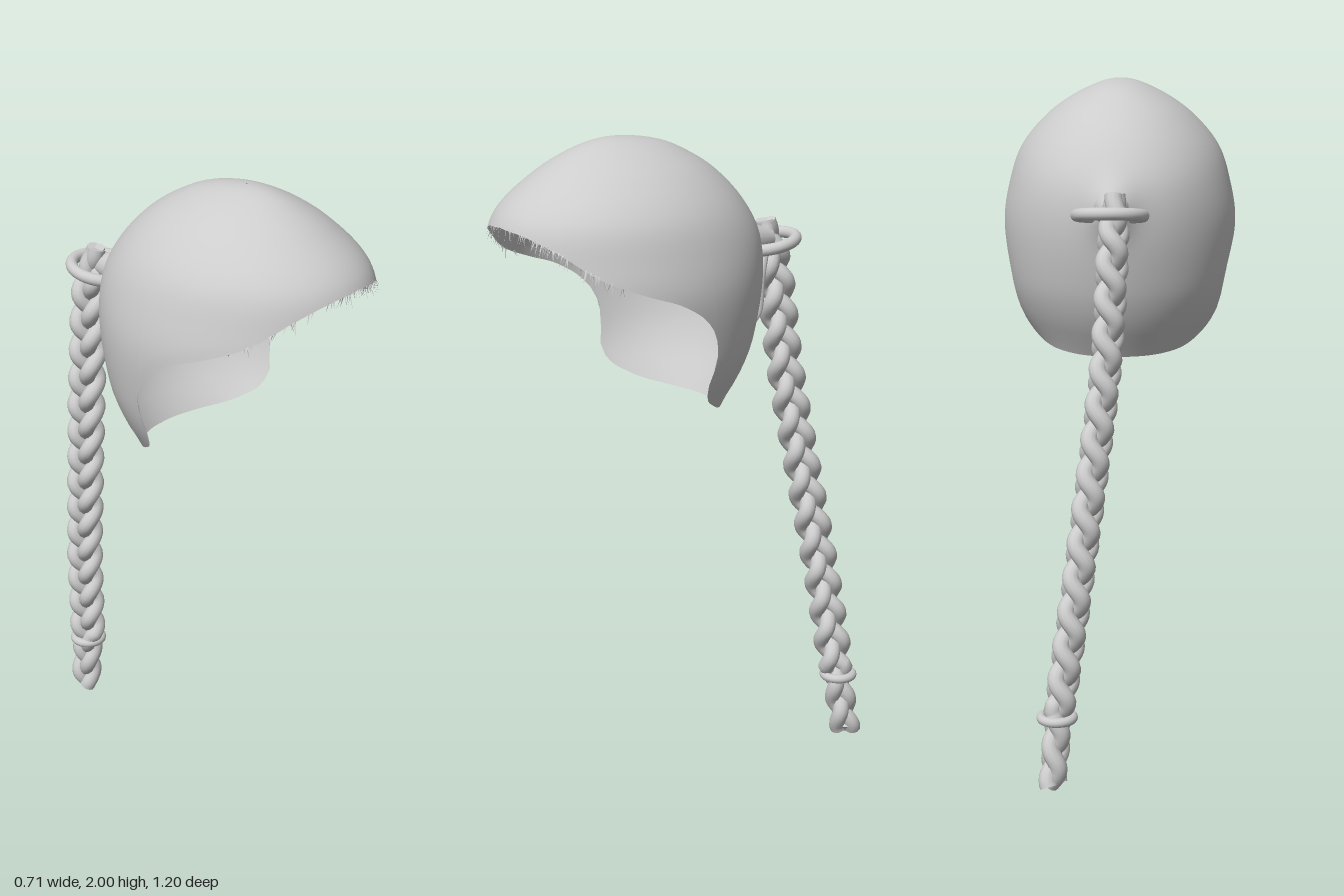
import * as THREE from 'three';
import { mergeVertices } from 'three/addons/utils/BufferGeometryUtils.js';

const V = (x, y, z) => new THREE.Vector3(x, y, z);

// Head sections: height, front z, back z, half width
const SECTIONS = [
  [2.0, 0.2, 0.2, 0], [1.98, 0.31, 0.05, 0.085], [1.95, 0.375, -0.02, 0.145], [1.9, 0.455, -0.1, 0.215],
  [1.8, 0.565, -0.195, 0.3], [1.7, 0.595, -0.245, 0.335], [1.57, 0.59, -0.25, 0.354],
  [1.4, 0.47, -0.215, 0.328], [1.3, 0.47, -0.175, 0.303], [1.22, 0.38, -0.125, 0.255], [1.18, 0.33, -0.1, 0.24],
];

// Lower edge of the hair: angle from the front in degrees, height
const HEM = [
  [0, 1.775], [20, 1.762], [37, 1.725], [55, 1.655], [73, 1.605], [86, 1.57], [96, 1.515], [100, 1.46],
  [101, 1.39], [102, 1.31], [105, 1.265], [115, 1.23], [127, 1.21], [150, 1.195], [180, 1.19],
];

// Smooth interpolation of the sections, spaced by the root of the depth below the crown
function section(y) {
  const key = (k) => Math.sqrt(Math.max(0, 2 - SECTIONS[k][0]));
  const s = Math.sqrt(Math.max(0, 2 - y));
  const last = SECTIONS.length - 1;
  let i = 0;
  while (i < last - 1 && s > key(i + 1)) i++;
  const h = key(i + 1) - key(i), t = Math.min(1, (s - key(i)) / h);
  const slope = (k, c) => {
    const a = Math.max(0, k - 1), b = Math.min(last, k + 1);
    return (SECTIONS[b][c] - SECTIONS[a][c]) / (key(b) - key(a));
  };
  return [1, 2, 3].map((c) => {
    const t2 = t * t, t3 = t2 * t;
    return (2 * t3 - 3 * t2 + 1) * SECTIONS[i][c] + (3 * t2 - 2 * t3) * SECTIONS[i + 1][c]
      + h * ((t3 - 2 * t2 + t) * slope(i, c) + (t3 - t2) * slope(i + 1, c));
  });
}

function headPoint(angle, y) {
  const [front, back, width] = section(y);
  const p = V(width * Math.sin(angle), y, (front + back) / 2 + (front - back) / 2 * Math.cos(angle));
  // Hair drawn back into the tie
  if (p.z < 0) p.z -= 0.045 * Math.exp(-((p.x / 0.06) ** 2) - ((y - 1.65) / 0.07) ** 2);
  return p;
}

// Full hem loop, mirrored from one side
function hemLoop(n) {
  const curve = new THREE.CatmullRomCurve3(HEM.map(([a, y]) => V(a * Math.PI / 180, y, 0)));
  const half = curve.getSpacedPoints(n);
  const other = half.slice(1, -1).reverse().map((p) => V(2 * Math.PI - p.x, p.y, 0));
  return [...half, ...other];
}

function capGeometry() {
  const hem = hemLoop(72), rows = 40, cols = hem.length;
  const pos = [], index = [];
  for (let i = 0; i <= rows; i++) {
    const t = Math.max(i / rows, 0.002) ** 1.8;
    for (const h of hem) pos.push(...headPoint(h.x, 2 - (2 - h.y) * t).toArray());
  }
  for (let i = 0; i < rows; i++) {
    for (let j = 0; j < cols; j++) {
      const a = i * cols + j, b = i * cols + (j + 1) % cols;
      index.push(a, a + cols, b, b, a + cols, b + cols);
    }
  }
  const g = new THREE.BufferGeometry();
  g.setAttribute('position', new THREE.Float32BufferAttribute(pos, 3));
  g.setIndex(index);
  const merged = mergeVertices(g, 1e-5);
  merged.computeVertexNormals();
  return merged;
}

// Fine hair ends along the front edge
function wispGeometry() {
  let seed = 7;
  const rnd = () => (seed = (seed * 16807) % 2147483647) / 2147483647;
  const pos = [];
  for (let i = 0; i < 110; i++) {
    const a = (rnd() * 2 - 1) * 1.1;
    const k = HEM.findIndex(([d]) => d * Math.PI / 180 > Math.abs(a));
    const [a0, y0] = HEM[k - 1], [a1, y1] = HEM[k];
    const y = y0 + (y1 - y0) * (Math.abs(a) * 180 / Math.PI - a0) / (a1 - a0) + 0.005;
    const p = headPoint(a, y), q = headPoint(a + 0.012, y);
    const tip = p.clone().add(V((rnd() - 0.5) * 0.03, -0.012 - rnd() * 0.03, (rnd() - 0.5) * 0.03));
    pos.push(...p.toArray(), ...tip.toArray(), ...q.toArray());
  }
  const g = new THREE.BufferGeometry();
  g.setAttribute('position', new THREE.Float32BufferAttribute(pos, 3));
  g.computeVertexNormals();
  return g;
}

export function createModel() {
  const group = new THREE.Group();
  const hair = new THREE.MeshStandardMaterial({ color: 0xcccccc, side: THREE.DoubleSide });
  hair.name = 'light grey';
  const add = (name, geometry, parent = group) => {
    const mesh = new THREE.Mesh(geometry, hair);
    mesh.name = name;
    parent.add(mesh);
    return mesh;
  };

  add('hairCap', capGeometry());
  add('fringeWisps', wispGeometry());

  // Gathered hair between the cap and the tie
  const gather = add('gatheredLock', new THREE.CylinderGeometry(0.03, 0.055, 0.09, 20, 1, true));
  gather.rotation.x = -Math.PI / 2;
  gather.position.set(0, 1.65, -0.3);
  for (const x of [-0.025, 0.025]) {
    const path = new THREE.CatmullRomCurve3([
      V(x * 0.5, 1.63, -0.325), V(x, 1.54, -0.3), V(x, 1.43, -0.288), V(x, 1.4, -0.26), V(x, 1.39, -0.2)]);
    add('looseLock', new THREE.TubeGeometry(path, 24, 0.011, 8));
  }

  // Three-strand braid, widest front to back
  const spine = new THREE.CatmullRomCurve3([
    V(-0.015, 1.7, -0.34), V(-0.01, 1.55, -0.37), V(0.005, 1.25, -0.405), V(0.045, 0.9, -0.455),
    V(0.09, 0.55, -0.505), V(0.135, 0.22, -0.54), V(0.152, 0.02, -0.568)]);
  const braid = new THREE.Group();
  braid.name = 'braid';
  group.add(braid);
  const turns = 5.7;
  for (let k = 0; k < 3; k++) {
    const pts = [];
    for (let i = 0; i <= 150; i++) {
      const t = i / 150, p = spine.getPointAt(t);
      const phase = 2 * Math.PI * (t * turns + k / 3);
      const spread = Math.min(1, 0.15 + t * 12) * (t > 0.87 ? 0.72 : 1);
      p.z += 0.034 * spread * Math.sin(phase);
      p.x += 0.021 * spread * Math.sin(2 * phase);
      pts.push(p);
    }
    const path = new THREE.CatmullRomCurve3(pts);
    add('braidStrand', new THREE.TubeGeometry(path, 220, 0.026, 12), braid);
    // Flat strand ends
    for (const [t, dir] of [[0, -1], [1, 1]]) {
      const cap = add('strandEnd', new THREE.CircleGeometry(0.026, 12), braid);
      cap.position.copy(path.getPointAt(t));
      cap.lookAt(cap.position.clone().addScaledVector(path.getTangentAt(t), dir));
    }
  }

  // Rings that hold the braid
  const topRing = add('topRing', new THREE.TorusGeometry(0.094, 0.018, 16, 64));
  topRing.rotation.x = Math.PI / 2 + 0.17;
  topRing.position.set(0, 1.64, -0.328);
  const lowRing = add('lowerRing', new THREE.TorusGeometry(0.046, 0.014, 14, 48));
  lowRing.rotation.x = Math.PI / 2;
  lowRing.position.set(0.14, 0.215, -0.542);
  return group;
}
